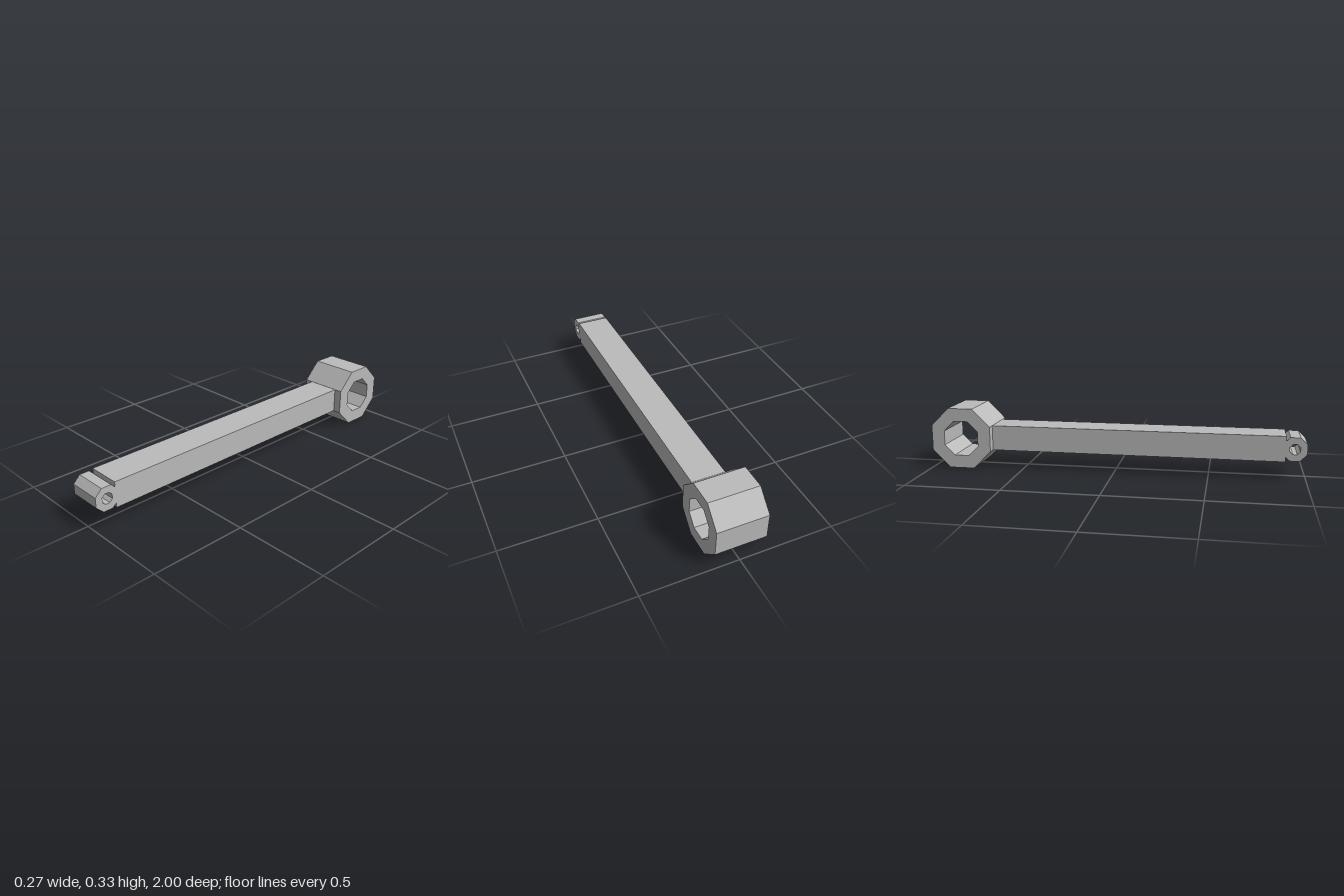
import * as THREE from 'three';

// Corners of an upright octagon, given half its width across flats
function octagon(half) {
  const r = half / Math.cos(Math.PI / 8);
  return Array.from({ length: 8 }, (_, i) => {
    const a = (i + 0.5) * Math.PI / 4;
    return new THREE.Vector2(r * Math.cos(a), r * Math.sin(a));
  });
}

export function createModel() {
  const model = new THREE.Group();
  const steel = new THREE.MeshStandardMaterial({ color: 0xbbbbbb });
  steel.name = 'steel grey';
  const axisY = 0.165;

  function add(name, geometry, y, z) {
    const mesh = new THREE.Mesh(geometry, steel);
    mesh.name = name;
    mesh.position.set(0, y, z);
    model.add(mesh);
  }

  // Octagonal ring with an octagonal bore running along x
  function ring(name, outer, inner, width, z) {
    const shape = new THREE.Shape(octagon(outer));
    shape.holes.push(new THREE.Path(octagon(inner).reverse()));
    const geometry = new THREE.ExtrudeGeometry(shape, { depth: width, bevelEnabled: false });
    geometry.translate(0, 0, -width / 2).rotateY(Math.PI / 2);
    add(name, geometry, axisY, z);
  }

  ring('bigEnd', 0.164, 0.094, 0.266, -0.836);
  ring('smallEnd', 0.062, 0.027, 0.178, 0.938);

  // Rod joining the two rings
  const front = 0.892, back = -0.672;
  add('rod', new THREE.BoxGeometry(0.178, 0.135, front - back), axisY, (front + back) / 2);

  return model;
}
